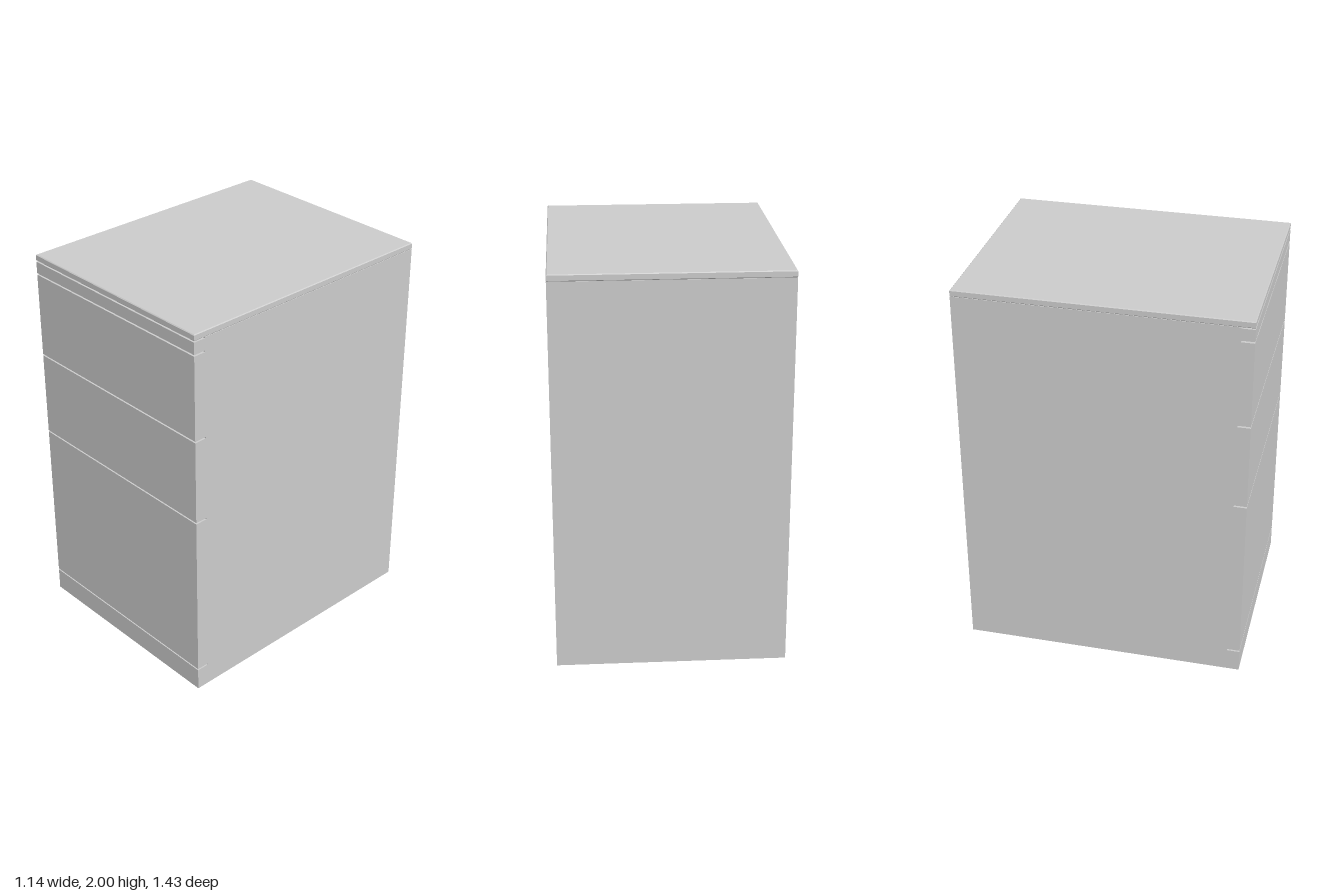
import * as THREE from 'three';

const material = new THREE.MeshStandardMaterial({ color: 0xcccccc });
const WIDTH = 1.142, BACK = -0.716, FRONT = 0.716, FACE = 0.652;

// Box given by its height and depth ranges, centred on x
function slab(name, y0, y1, z0, z1) {
  const mesh = new THREE.Mesh(new THREE.BoxGeometry(WIDTH, y1 - y0, z1 - z0), material);
  mesh.name = name;
  mesh.position.set(0, (y0 + y1) / 2, (z0 + z1) / 2);
  return mesh;
}

// Worktop with a fine chamfer around its upper and lower edges
function worktop(y0, y1) {
  const c = 0.004, w = WIDTH / 2 - c, d = FRONT - c;
  const outline = new THREE.Shape([
    new THREE.Vector2(-w, -d), new THREE.Vector2(w, -d),
    new THREE.Vector2(w, d), new THREE.Vector2(-w, d),
  ]);
  const geometry = new THREE.ExtrudeGeometry(outline, {
    depth: y1 - y0 - 2 * c, bevelSize: c, bevelThickness: c, bevelSegments: 1,
  });
  geometry.rotateX(-Math.PI / 2);
  const mesh = new THREE.Mesh(geometry, material);
  mesh.name = 'worktop';
  mesh.position.y = y0 + c;
  return mesh;
}

export function createModel() {
  const cabinet = new THREE.Group();
  cabinet.name = 'drawerPedestal';

  // Carcass and top
  cabinet.add(slab('carcass', 0, 1.967, BACK, FACE));
  cabinet.add(worktop(1.967, 2));

  // Front panels, separated by narrow open gaps
  const fronts = [
    ['plinth', 0, 0.117],
    ['fileDrawerFront', 0.125, 1.003],
    ['middleDrawerFront', 1.011, 1.449],
    ['topDrawerFront', 1.457, 1.893],
    ['topRail', 1.901, 1.962],
  ];
  for (const [name, y0, y1] of fronts) cabinet.add(slab(name, y0, y1, FACE, FRONT));

  return cabinet;
}
